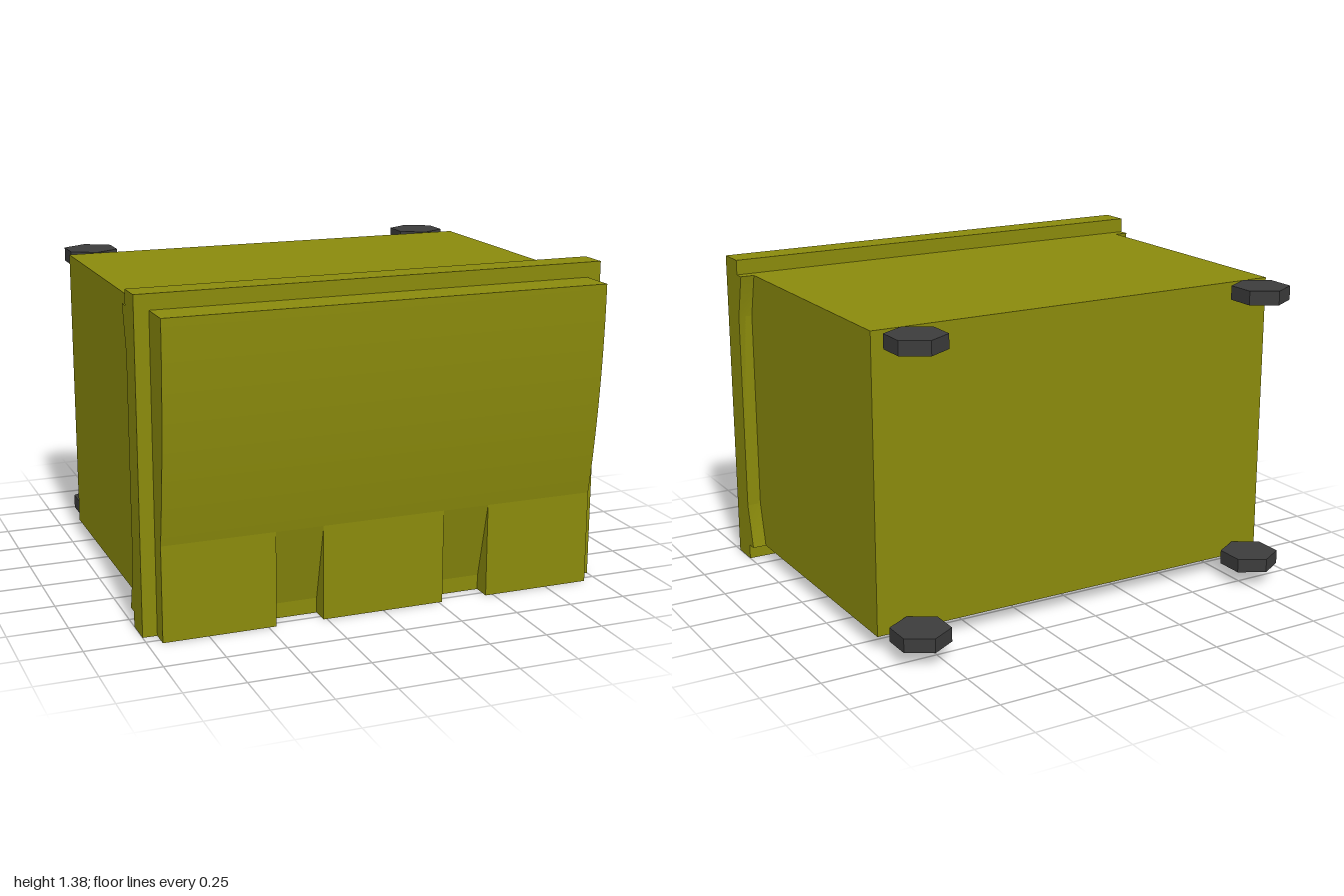
import * as THREE from 'three';
import { toCreasedNormals } from 'three/addons/utils/BufferGeometryUtils.js';

const paint = new THREE.MeshStandardMaterial({ color: 0x8a8a0c });
const rubber = new THREE.MeshStandardMaterial({ color: 0x3c3c3c });

function addMesh(parent, name, geometry, material = paint) {
  const mesh = new THREE.Mesh(geometry, material);
  mesh.name = name;
  parent.add(mesh);
  return mesh;
}

// Box given by its minimum and maximum corners
function addBox(parent, name, [x0, y0, z0], [x1, y1, z1]) {
  const mesh = addMesh(parent, name, new THREE.BoxGeometry(x1 - x0, y1 - y0, z1 - z0));
  mesh.position.set((x0 + x1) / 2, (y0 + y1) / 2, (z0 + z1) / 2);
  return mesh;
}

// Side profile, drawn as (-z, y), extruded from x0 to x1
function addProfile(parent, name, shape, x0, x1) {
  const geo = new THREE.ExtrudeGeometry(shape, { depth: x1 - x0, bevelEnabled: false, curveSegments: 16 });
  geo.rotateY(Math.PI / 2);
  geo.translate(x0, 0, 0);
  return addMesh(parent, name, toCreasedNormals(geo, 0.5));
}

const polygon = (points) => new THREE.Shape(points.map(([z, y]) => new THREE.Vector2(-z, y)));

export function createModel() {
  const model = new THREE.Group();
  model.name = 'container';

  // Main body and the wider rim around its front
  addBox(model, 'body', [-0.94, 0.065, -0.61], [0.94, 1.312, 0.59]);
  addBox(model, 'rim', [-1, 0, 0.58], [1, 1.376, 0.703]);

  // Side lips behind the rim, deeper at both ends
  const lip = polygon([[0.59, 0.065], [0.59, 1.312], [0.535, 1.312], [0.58, 1.125], [0.58, 0.255], [0.535, 0.065]]);
  addProfile(model, 'leftLip', lip, 0.93, 1);
  addProfile(model, 'rightLip', lip, -1, -0.93);

  // Front door
  const door = new THREE.Group();
  door.name = 'door';
  model.add(door);

  const panel = new THREE.Shape();
  panel.moveTo(-0.69, 0.4);
  panel.lineTo(-0.69, 1.312);
  panel.lineTo(-0.861, 1.312);
  panel.quadraticCurveTo(-0.861, 0.86, -0.783, 0.4);
  panel.closePath();
  addProfile(door, 'curvedPanel', panel, -0.94, 0.94);

  // Lower blocks with sloping pockets between them
  const blocks = [[-0.94, -0.467], [-0.265, 0.265], [0.467, 0.94]];
  blocks.forEach(([x0, x1], i) => addBox(door, 'lowerBlock' + (i + 1), [x0, 0, 0.69], [x1, 0.4, 0.783]));

  const slope = polygon([[0.69, 0.4], [0.783, 0.4], [0.704, 0.065], [0.69, 0.065]]);
  addProfile(door, 'rightPocket', slope, -0.467, -0.265);
  addProfile(door, 'leftPocket', slope, 0.265, 0.467);

  // Hexagonal rollers at the four rear corners
  for (const [side, x] of [['left', 0.812], ['right', -0.812]]) {
    for (const [level, y] of [['Upper', 1.284], ['Lower', 0.096]]) {
      const geo = new THREE.CylinderGeometry(0.123, 0.123, 0.06, 6).toNonIndexed();
      geo.computeVertexNormals();
      addMesh(model, side + level + 'Roller', geo, rubber).position.set(x, y, -0.736);
    }
  }

  return model;
}
